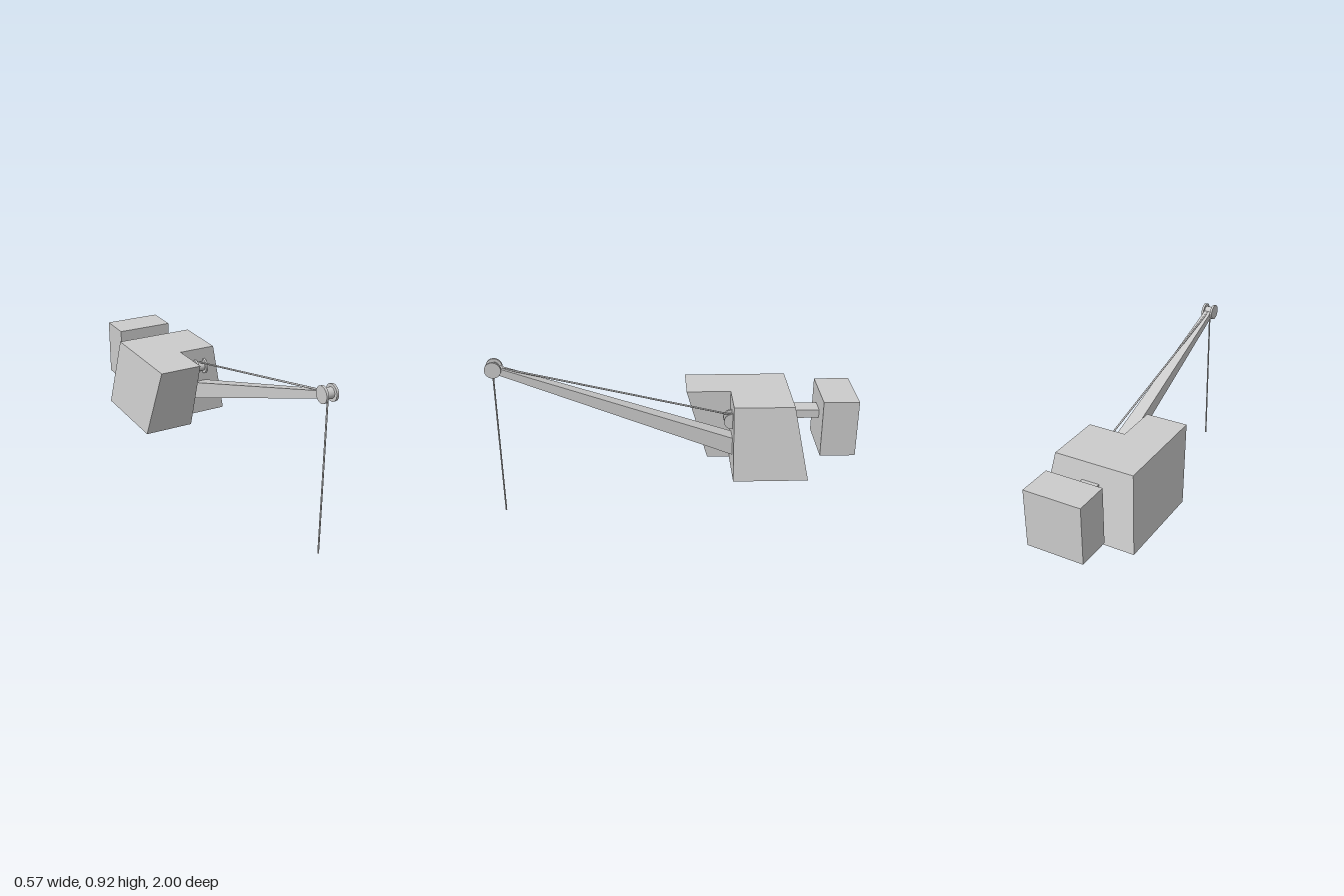
import * as THREE from 'three';

const material = new THREE.MeshStandardMaterial({ color: 0xcccccc });
const flat = new THREE.MeshStandardMaterial({ color: 0xcccccc, flatShading: true });

function add(parent, name, geometry, mat = material) {
  const mesh = new THREE.Mesh(geometry, mat);
  mesh.name = name;
  parent.add(mesh);
  return mesh;
}

// Solid between two matching outlines of [x, y, z] points, counter-clockwise seen from the end cap.
// capTriangles indexes the end outline.
function loft(start, end, capTriangles) {
  const n = start.length;
  const index = [];
  for (let i = 0; i < n; i++) {
    const j = (i + 1) % n;
    index.push(i, j, n + j, i, n + j, n + i);
  }
  for (const [a, b, c] of capTriangles) index.push(n + a, n + b, n + c, a, c, b);
  const geometry = new THREE.BufferGeometry();
  geometry.setAttribute('position', new THREE.Float32BufferAttribute([...start, ...end].flat(), 3));
  geometry.setIndex(index);
  const faceted = geometry.toNonIndexed();
  faceted.computeVertexNormals();
  return faceted;
}

// Box given by its lower and upper corners
function boxBetween(min, max) {
  const size = max.map((v, i) => v - min[i]);
  const mid = max.map((v, i) => (v + min[i]) / 2);
  return new THREE.BoxGeometry(...size).translate(...mid);
}

// Round cable between two points
function cable(from, to, radius) {
  const path = new THREE.LineCurve3(new THREE.Vector3(...from), new THREE.Vector3(...to));
  const length = path.getLength();
  const geometry = new THREE.CylinderGeometry(radius, radius, length, 12);
  const turn = new THREE.Quaternion().setFromUnitVectors(new THREE.Vector3(0, 1, 0), path.getTangent(0));
  const mid = path.getPoint(0.5);
  return geometry.applyQuaternion(turn).translate(mid.x, mid.y, mid.z);
}

// Drum with a flange on each side, axle along x
function pulley(name, x, y, z) {
  const group = new THREE.Group();
  group.name = name;
  group.position.set(x, y, z);
  const disc = (r, w) => new THREE.CylinderGeometry(r, r, w, 32).rotateZ(Math.PI / 2);
  add(group, 'drum', disc(0.028, 0.06));
  for (const side of [-1, 1]) {
    add(group, 'flange', disc(0.044, 0.013)).position.x = side * 0.028;
  }
  return group;
}

export function createModel() {
  const model = new THREE.Group();
  model.name = 'crane';
  const boomX = 0.122;

  // L-shaped house with sloping walls and the cab jutting forward
  const outline = (y, left, right, back, front) => [
    [left, y, front], [0, y, front], [0, y, -0.315],
    [right, y, -0.315], [right, y, back], [left, y, back],
  ];
  add(model, 'house', loft(
    outline(0.26, -0.285, 0.285, -0.725, -0.19),
    outline(0.67, -0.24, 0.215, -0.643, -0.07),
    [[0, 1, 2], [0, 2, 5], [2, 3, 4], [2, 4, 5]],
  ), flat);

  // Counterweight on a short arm
  add(model, 'counterweight', boxBetween([-0.165, 0.345, -1], [0.16, 0.67, -0.805]));
  add(model, 'counterweightArm', boxBetween([-0.053, 0.525, -0.82], [0.047, 0.572, -0.64]));

  // Tapered boom
  const section = (z, halfWidth, bottom, top) => [
    [boomX - halfWidth, bottom, z], [boomX + halfWidth, bottom, z],
    [boomX + halfWidth, top, z], [boomX - halfWidth, top, z],
  ];
  add(model, 'boom', loft(
    section(-0.32, 0.046, 0.362, 0.463),
    section(0.945, 0.0215, 0.85, 0.889),
    [[0, 1, 2], [0, 2, 3]],
  ), flat);

  // Pulleys at the boom tip and on the house
  model.add(pulley('tipPulley', boomX, 0.876, 0.956));
  model.add(pulley('housePulley', boomX, 0.56, -0.312));

  // Support cable and hanging hoist cable
  add(model, 'supportCable', cable([boomX, 0.586, -0.312], [boomX, 0.884, 0.95], 0.005));
  add(model, 'hoistCable', cable([boomX, 0, 0.961], [boomX, 0.87, 0.961], 0.0045));

  return model;
}
